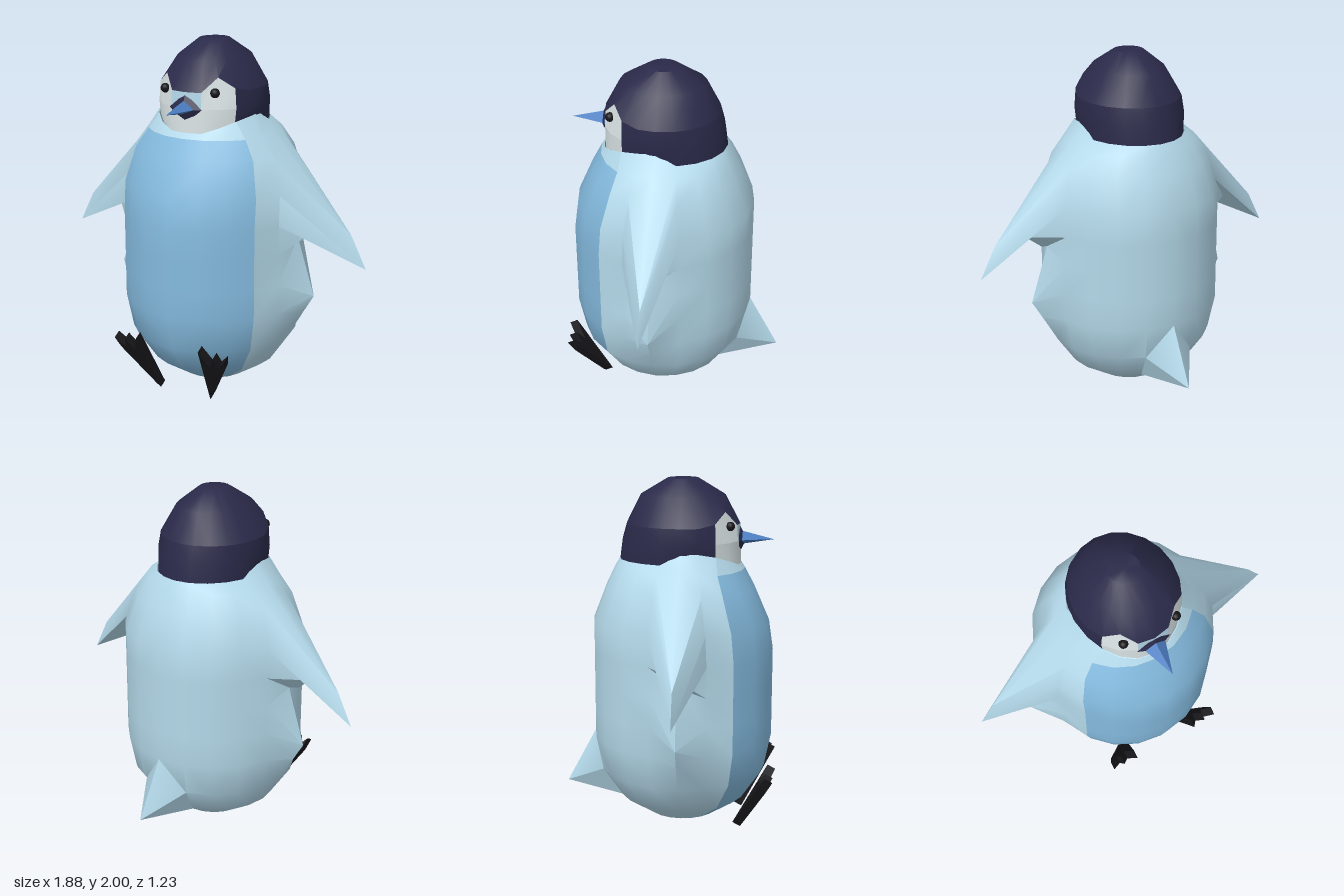
import * as THREE from 'three';
import { toCreasedNormals } from 'three/addons/utils/BufferGeometryUtils.js';

const SIDES = 20;
const CZ = 0.07;
const material = (color) => new THREE.MeshStandardMaterial({ color, side: THREE.DoubleSide, roughness: 0.9 });

// Skin over columns c0..c1 and rows r0..r1 of a ring grid; column 0 faces front, columns run towards +x
function patch(name, mat, point, c0, c1, r0, r1) {
  const pos = [];
  const put = (...pts) => pts.forEach((p) => pos.push(p[0], p[1], p[2]));
  for (let r = r0; r < r1; r++) {
    for (let c = c0; c < c1; c++) {
      const a = point(r, c), b = point(r, c + 1), d = point(r + 1, c + 1), e = point(r + 1, c);
      // the diagonal is mirrored on the other half
      if ((c + SIDES) % SIDES < SIDES / 2) put(a, b, d, a, d, e);
      else put(a, b, e, b, d, e);
    }
  }
  const g = new THREE.BufferGeometry();
  g.setAttribute('position', new THREE.Float32BufferAttribute(pos, 3));
  const mesh = new THREE.Mesh(toCreasedNormals(g, 0.65), mat);
  mesh.name = name;
  return mesh;
}

// Upper rim of the body: dips at the throat, rises at the shoulders
function rimY(k) {
  return [1.53, 1.53, 1.56, 1.59, 1.61, 1.61][k] ?? 1.55;
}

// Body rings: height, back radius, front radius, side radius
const BODY = [
  [0.01, 0, 0, 0], [0.05, 0.197, 0.197, 0.197], [0.16, 0.364, 0.364, 0.364], [0.325, 0.476, 0.476, 0.476],
  [0.52, 0.515, 0.515, 0.515], [0.69, 0.515, 0.515, 0.515], [0.86, 0.515, 0.515, 0.515],
  [1.03, 0.515, 0.515, 0.515], [1.2, 0.515, 0.49, 0.515], [1.395, 0.44, 0.405, 0.46],
  [1.5, 0.39, 0.35, 0.38], [1.55, 0.36, 0.33, 0.3],
];
// Side column pulled out into hip ridge and wing: row -> [x, y]
const SIDE = {
  4: [0.57, 0.49], 5: [0.635, 0.6], 6: [0.53, 0.93], 7: [0.66, 1.01],
  8: [0.94, 0.81], 9: [0.85, 0.99], 10: [0.37, 1.51], 11: [0.28, 1.61],
};

function bodyPoint(r, c) {
  const col = (c + SIDES) % SIDES;
  const k = Math.min(col, SIDES - col);
  const sign = col > SIDES / 2 ? -1 : 1;
  if (k === 5 && SIDE[r]) return [sign * SIDE[r][0], SIDE[r][1], CZ];
  if (k === 10 && r === 3) return [0, 0.2, -0.615]; // tail tip
  const [y, back, front, side] = BODY[r];
  const t = k * Math.PI / 10;
  const h = r === 11 ? rimY(k) : y;
  return [sign * side * Math.sin(t), h, CZ + (k < 5 ? front : back) * Math.cos(t)];
}

// Head rings: height, side radius, back radius, front radius
const HEAD = [
  [1.54, 0.29, 0.36, 0.325], [1.66, 0.3, 0.345, 0.325], [1.75, 0.29, 0.32, 0.32],
  [1.91, 0.195, 0.24, 0.235], [2.0, 0.085, 0.09, 0.085], [2.0, 0, 0, 0],
];

function headPoint(r, c) {
  const col = (c + SIDES) % SIDES;
  const k = Math.min(col, SIDES - col);
  const sign = col > SIDES / 2 ? -1 : 1;
  const [y, side, back, front] = HEAD[r];
  const t = k * Math.PI / 10;
  let h = y;
  if (r === 0) h = rimY(k) - 0.005;
  if (r === 2) h = [1.75, 1.75, 1.83, 1.77][k] ?? y; // peaked brow line
  const s = r === 2 && k === 2 ? 0.93 : 1;
  return [sign * s * side * Math.sin(t), h, CZ + s * (k < 5 ? front : back) * Math.cos(t)];
}

// Four-sided spike: corners right, top, left, bottom, then tip
function spike(name, mat, w, top, mid, bottom, z, tip) {
  const ring = [[w, mid, z], [0, top, z], [-w, mid, z], [0, bottom, z]];
  const pos = [];
  ring.forEach((p, i) => pos.push(...p, ...ring[(i + 1) % 4], ...tip));
  const g = new THREE.BufferGeometry();
  g.setAttribute('position', new THREE.Float32BufferAttribute(pos, 3));
  g.computeVertexNormals();
  const mesh = new THREE.Mesh(g, mat);
  mesh.name = name;
  return mesh;
}

export function createModel() {
  const model = new THREE.Group();
  const coat = material(0xb4d9ea);
  const blue = material(0x84bade);
  const navy = material(0x2a2a4a);
  const white = material(0xdce6e8);
  const beakBlue = material(0x4a7cc0);
  const black = material(0x17171b);

  // Body, wings and tail share one skin, with the belly inset in front
  model.add(
    patch('bodyWithWingsAndTail', coat, bodyPoint, 3, 17, 0, 11),
    patch('belly', blue, bodyPoint, -3, 3, 0, 10),
    patch('collar', coat, bodyPoint, -3, 3, 10, 11),
  );

  // Head: hood over the top and back, pale face in front
  model.add(
    patch('hoodTop', navy, headPoint, 0, 20, 2, 5),
    patch('hoodBack', navy, headPoint, 3, 17, 0, 2),
    patch('faceLower', white, headPoint, -3, 3, 0, 1),
    patch('leftCheek', white, headPoint, 1, 3, 1, 2),
    patch('rightCheek', white, headPoint, -3, -1, 1, 2),
    patch('beakSurround', coat, headPoint, -1, 1, 1, 2),
  );

  // Beak
  model.add(
    spike('beakBase', navy, 0.1, 1.745, 1.66, 1.58, 0.385, [0, 1.66, 0.425]),
    spike('beak', beakBlue, 0.065, 1.71, 1.66, 1.63, 0.385, [0, 1.66, 0.58]),
  );

  // Foot outline with three toes
  const outline = [
    [0.165, 0], [0.2, 0.42], [0.245, 0.31], [0.285, 0.39], [0.3, 0.32], [0.355, 0.385], [0.335, 0.31], [0.185, 0.03],
  ];

  for (const s of [1, -1]) {
    const label = s > 0 ? 'left' : 'right';

    const eye = new THREE.Mesh(new THREE.SphereGeometry(0.026, 14, 10), black);
    eye.name = label + 'Eye';
    eye.position.set(s * 0.155, 1.75, 0.338);
    model.add(eye);

    const shape = new THREE.Shape(outline.map(([x, y]) => new THREE.Vector2(s * x, y)));
    const foot = new THREE.Mesh(new THREE.ExtrudeGeometry(shape, { depth: 0.05, bevelEnabled: false }), black);
    foot.name = label + 'Foot';
    foot.position.set(0, 0.024, 0.37);
    foot.rotation.x = 0.49;
    model.add(foot);
  }

  return model;
}
